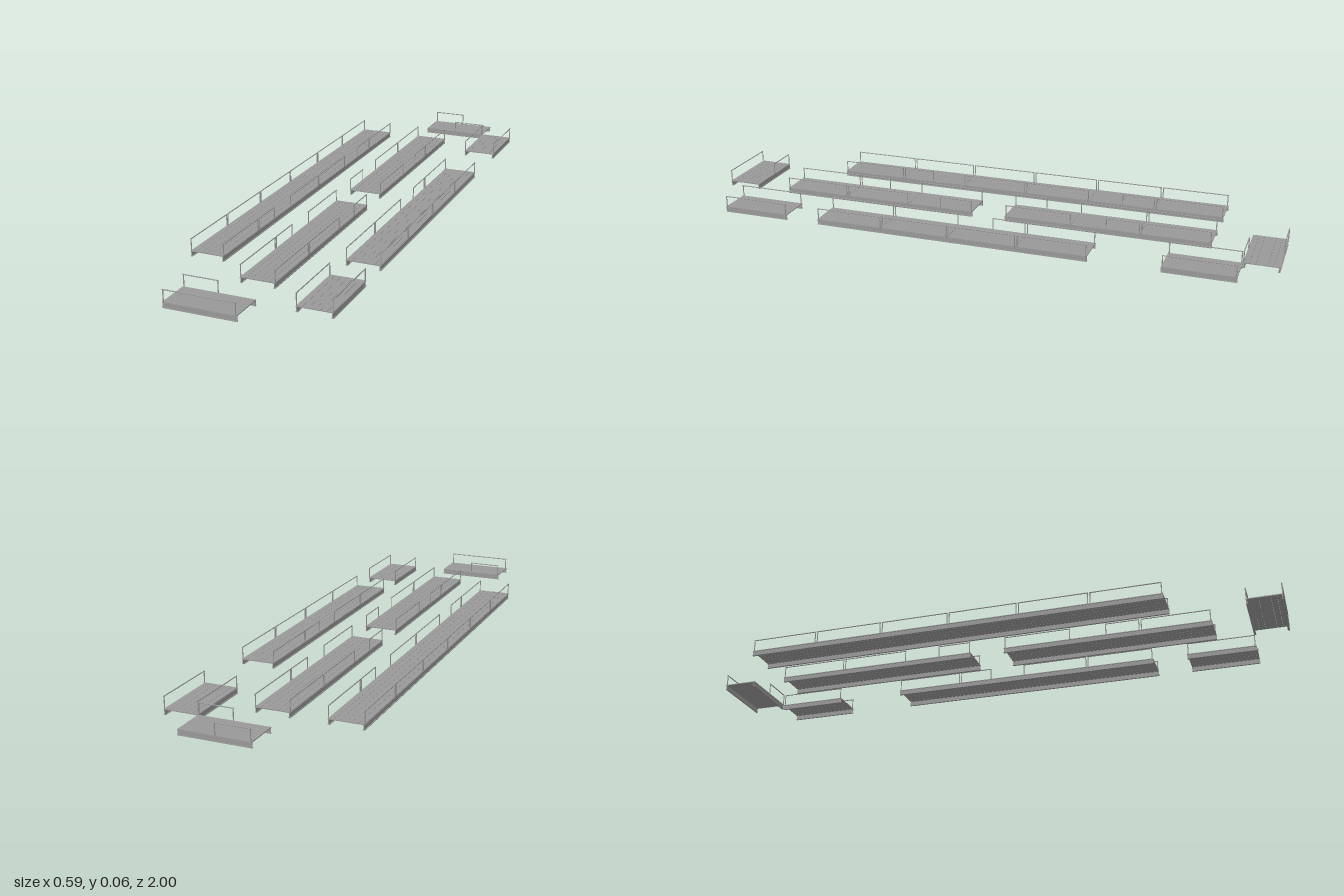
import * as THREE from 'three';

const L = 0.2354;   // section length
const HALF = 0.058; // half of a section's width
const mat = new THREE.MeshStandardMaterial({ color: 0x999999, flatShading: true });

function add(parent, name, geometry, x, y, z) {
  const m = new THREE.Mesh(geometry, mat);
  m.name = name;
  m.position.set(x, y, z);
  parent.add(m);
  return m;
}

const box = (parent, name, w, h, d, x, y, z) =>
  add(parent, name, new THREE.BoxGeometry(w, h, d), x, y, z);

// Guard rail frame: F = whole length, A = half towards -z, B = half towards +z
function addRail(parent, side, kind) {
  if (kind === '-') return;
  const rail = new THREE.Group();
  rail.name = side > 0 ? 'leftRail' : 'rightRail';
  const r = 0.0018, x = side * (HALF - r);
  const z0 = kind === 'B' ? 0.002 : -L / 2 + 0.004;
  const z1 = kind === 'A' ? -0.002 : L / 2 - 0.004;
  const top = add(rail, 'topRail', new THREE.CylinderGeometry(r, r, z1 - z0 + 2 * r, 8), x, 0.0566, (z0 + z1) / 2);
  top.rotation.x = Math.PI / 2;
  for (const z of [z0, z1]) add(rail, 'railPost', new THREE.CylinderGeometry(r, r, 0.0405, 8), x, 0.0368, z);
  parent.add(rail);
}

// One walkway section, running along z
function section(leftKind, rightKind) {
  const g = new THREE.Group();
  g.name = 'walkwaySection';
  // deck of lengthwise planks with a slightly raised centre seam
  const planks = 6, pitch = (2 * HALF - 0.002) / planks;
  for (let i = 0; i < planks; i++) {
    box(g, 'deckPlank', pitch - 0.0006, 0.003, L - 0.0008, (i - (planks - 1) / 2) * pitch, 0.0172, 0);
  }
  box(g, 'deckSeam', 0.004, 0.001, L - 0.0008, 0, 0.0187, 0);
  for (const s of [-1, 1]) {
    // I-beam along each edge
    const x = s * (HALF - 0.0035);
    box(g, 'beamWeb', 0.0022, 0.016, L, x, 0.009, 0);
    box(g, 'beamFoot', 0.007, 0.002, L, x, 0.001, 0);
    box(g, 'beamHead', 0.007, 0.002, L, x, 0.0162, 0);
    addRail(g, s, s > 0 ? leftKind : rightKind);
  }
  return g;
}

export function createModel() {
  const model = new THREE.Group();
  model.name = 'walkwayKit';

  // Rows: x centre, first z edge, rails of each section as left then right
  const rows = [
    ['outerRightRow', -0.235, -0.768, ['FF', 'AF', 'FF', 'FF', 'BF', 'FF']],
    ['middleRearRow', -0.001, -0.768, ['FF', 'AF', 'FB']],
    ['middleFrontRow', -0.001, 0.057, ['AF', 'FB', 'FF']],
    ['outerLeftRearPiece', 0.235, -0.885, ['FF']],
    ['outerLeftRow', 0.235, -0.414, ['FF', 'FA', 'FF', 'FF']],
    ['outerLeftFrontPiece', 0.235, 0.645, ['FF']],
  ];
  for (const [name, x, z, kinds] of rows) {
    const row = new THREE.Group();
    row.name = name;
    kinds.forEach((k, i) => {
      const s = section(k[0], k[1]);
      s.position.set(x, 0, z + (i + 0.5) * L);
      row.add(s);
    });
    model.add(row);
  }

  // Crosswise end sections
  for (const [name, x, z, l, r] of [
    ['frontCrossPiece', -0.06, 0.942, 'A', 'F'],
    ['rearCrossPiece', 0.059, -0.942, 'A', 'B'],
  ]) {
    const s = section(l, r);
    s.name = name;
    s.rotation.y = Math.PI / 2;
    s.position.set(x, 0, z);
    model.add(s);
  }
  return model;
}
